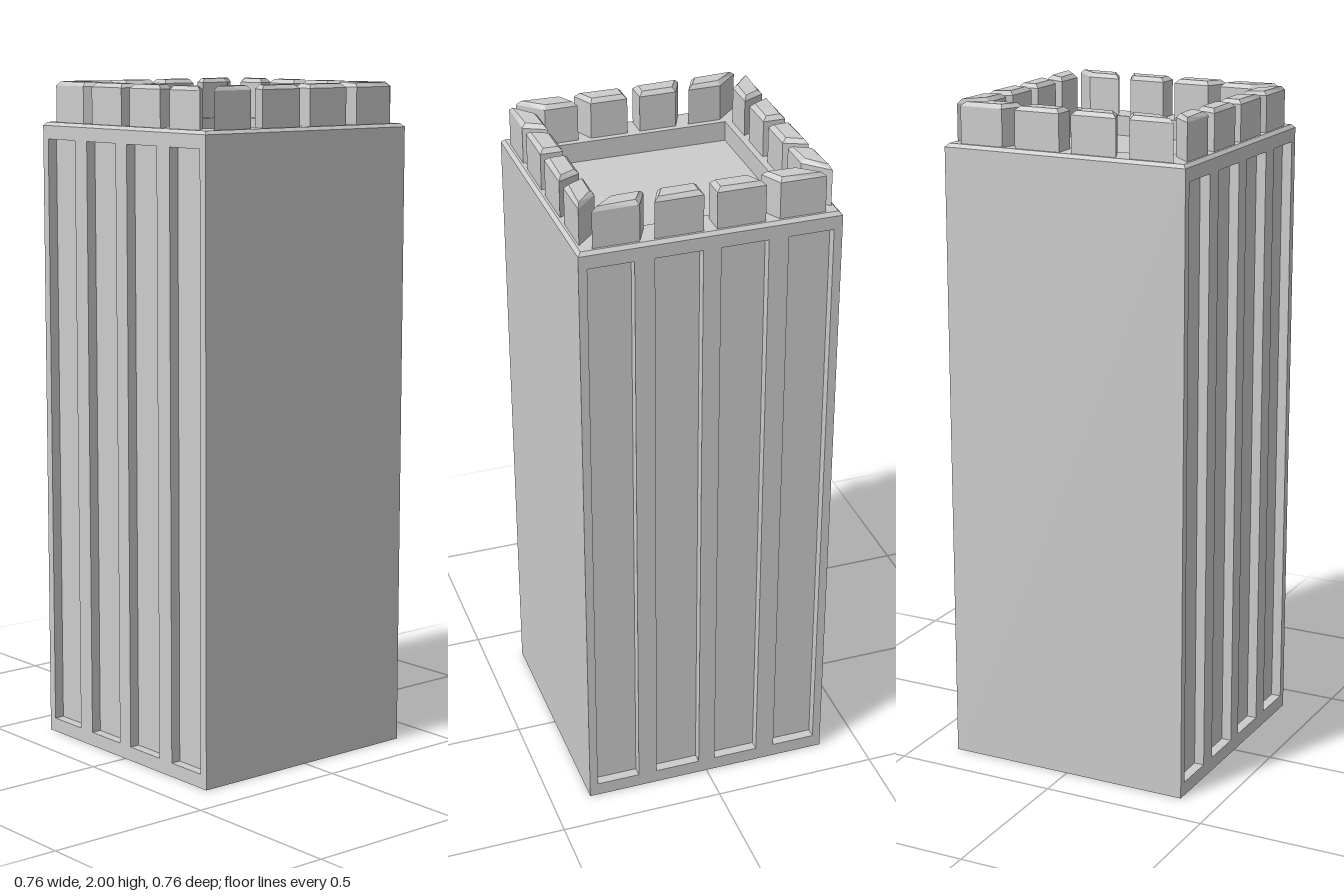
import * as THREE from 'three';

const HALF = 0.38;      // half width of the tower
const WALL_TOP = 1.87;  // where the chamfer under the battlements starts
const PANEL_DEPTH = 0.03;

const material = new THREE.MeshStandardMaterial({ color: 0xcccccc, flatShading: true });

function add(parent, name, geometry) {
  const mesh = new THREE.Mesh(geometry, material);
  mesh.name = name;
  parent.add(mesh);
  return mesh;
}

// Square-plan surface from a profile of [half width, height] points
function squareLathe(profile) {
  const points = profile.map(([w, y]) => new THREE.Vector2(w * Math.SQRT2, y));
  return new THREE.LatheGeometry(points, 4, Math.PI / 4);
}

function shapeFrom(corners) {
  return new THREE.Shape(corners.map(([x, y]) => new THREE.Vector2(x, y)));
}

function rectangle(x0, x1, y0, y1) {
  return [[x0, y0], [x1, y0], [x1, y1], [x0, y1]];
}

// Side wall with four tall sunken panels, facing +x
function createPanelWall() {
  const wall = new THREE.Group();
  wall.name = 'panelWall';
  const frame = shapeFrom(rectangle(-HALF, HALF, 0, WALL_TOP));
  for (const [a, b] of [[-0.355, -0.222], [-0.164, -0.026], [0.026, 0.164], [0.222, 0.355]]) {
    frame.holes.push(shapeFrom(rectangle(a, b, 0.042, 1.83)));
    const panel = add(wall, 'sunkenPanel', new THREE.PlaneGeometry(b - a, 1.788));
    panel.position.set(HALF - PANEL_DEPTH, 0.936, -(a + b) / 2);
    panel.rotation.y = Math.PI / 2;
  }
  const frameMesh = add(wall, 'panelFrame',
    new THREE.ExtrudeGeometry(frame, { depth: PANEL_DEPTH, bevelEnabled: false }));
  frameMesh.rotation.y = Math.PI / 2;
  frameMesh.position.x = HALF - PANEL_DEPTH;
  return wall;
}

// Chamfered battlement block from its plan outline
function merlonGeometry(plan) {
  const bevel = 0.012;
  const geometry = new THREE.ExtrudeGeometry(shapeFrom(plan), {
    depth: 0.116, bevelThickness: bevel, bevelSize: bevel, bevelOffset: -bevel, bevelSegments: 1,
  });
  geometry.rotateX(-Math.PI / 2);
  geometry.translate(0, 2 - 0.116 - bevel, 0);
  return geometry;
}

export function createModel() {
  const tower = new THREE.Group();
  tower.name = 'tower';

  // Underside, and the chamfered rim around the sunken roof
  add(tower, 'base', squareLathe([[0, 0], [HALF, 0]]));
  add(tower, 'roof', squareLathe([[HALF, WALL_TOP], [0.37, 1.88], [0.278, 1.88], [0.278, 1.82], [0, 1.82]]));

  // Plain front and back, panelled left and right
  for (const turn of [0, Math.PI]) {
    const plain = add(tower, turn ? 'backWall' : 'frontWall', new THREE.PlaneGeometry(2 * HALF, WALL_TOP));
    plain.position.set(0, WALL_TOP / 2, turn ? -HALF : HALF);
    plain.rotation.y = turn;
    const panelled = createPanelWall();
    panelled.rotation.y = turn;
    tower.add(panelled);
  }

  // Four merlons per side: a mitred corner block and a middle block, mirrored
  const outer = 0.363, inner = 0.297;
  const plans = {
    cornerMerlon: [[0.335, outer], [0.201, outer], [0.169, inner], [0.268, inner]],
    middleMerlon: [[0.16, outer], [0.019, outer], [0.019, inner], [0.13, inner]],
  };
  for (let side = 0; side < 4; side++) {
    const row = new THREE.Group();
    row.name = 'battlementRow';
    row.rotation.y = side * Math.PI / 2;
    for (const [name, plan] of Object.entries(plans)) {
      for (const mirror of [-1, 1]) {
        add(row, name, merlonGeometry(plan.map(([x, y]) => [mirror * x, y])));
      }
    }
    tower.add(row);
  }
  return tower;
}
